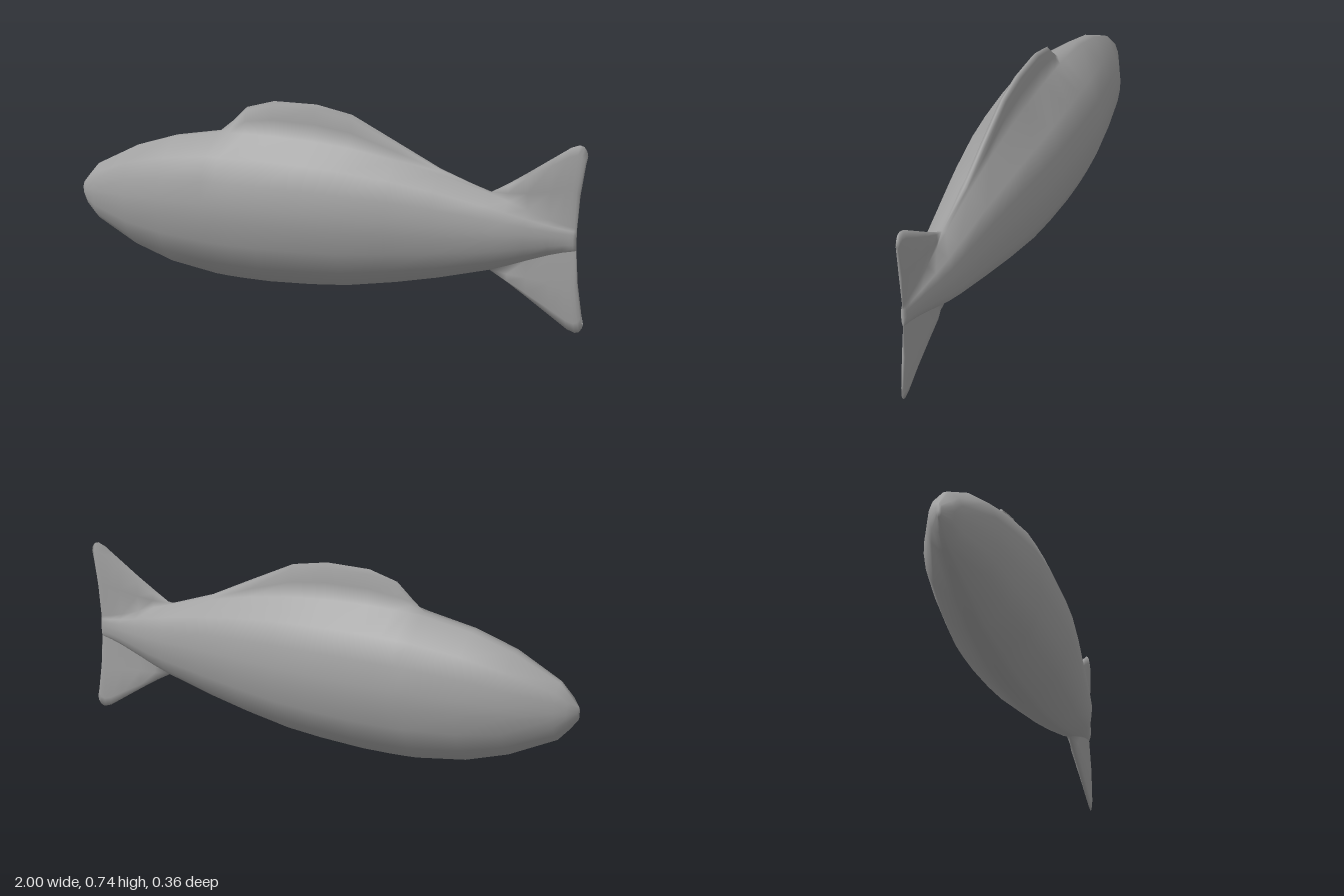
import * as THREE from 'three';
import { mergeVertices } from 'three/addons/utils/BufferGeometryUtils.js';

const material = new THREE.MeshStandardMaterial({ color: 0xa0a0a0 });

// Plain body sections: [x, body top, body bottom, half width, fin top, fin half thickness]
const BODY = [
  [-1, 0.345, 0.345, 0],
  [-1, 0.37, 0.32, 0.01],
  [-0.97, 0.405, 0.28, 0.044],
  [-0.93, 0.45, 0.235, 0.062],
  [-0.76, 0.535, 0.152, 0.131],
  [-0.6, 0.585, 0.1, 0.155],
  [-0.41, 0.618, 0.072, 0.179],
  [-0.36, 0.62, 0.069, 0.181, 0.658, 0.014],
  [-0.3, 0.622, 0.067, 0.183, 0.715, 0.02],
  [-0.19, 0.622, 0.066, 0.183, 0.745, 0.022],
  [-0.02, 0.615, 0.074, 0.177, 0.745, 0.022],
  [0.12, 0.602, 0.086, 0.166, 0.718, 0.021],
  [0.3, 0.572, 0.117, 0.141, 0.63, 0.018],
  [0.46, 0.535, 0.151, 0.115, 0.55, 0.014],
  [0.65, 0.482, 0.2, 0.086],
];

// Tail sections, symmetric about TAIL_Y and swept back toward the tips:
// [x at middle, x at tips, body half height, body half width, fin half height, fin half thickness]
const TAIL_Y = 0.341;
const TAIL = [
  [0.72, 0.72, 0.118, 0.075, 0.181, 0.02],
  [0.79, 0.79, 0.092, 0.055, 0.226, 0.018],
  [0.87, 0.88, 0.064, 0.031, 0.286, 0.015],
  [0.92, 0.94, 0.05, 0.018, 0.326, 0.013],
  [0.945, 0.97, 0.045, 0.013, 0.337, 0.012],
  [0.958, 0.986, 0.042, 0.011, 0.332, 0.011],
  [0.966, 0.997, 0.04, 0.007, 0.316, 0.007],
  [0.968, 1, 0.04, 0, 0.3, 0],
];

const ANGLES = [8, 45, 67, 85, 95, 113, 135, 166, 174];
const FIN_STEPS = [1, 0.88, 0.45]; // heights along a fin, tip first

// One closed section: fin tip, down the +z flank, lower fin tip, back up the -z flank
function section({ xMid, xTip, top, bottom, w, finTop, finBottom, t }) {
  const mid = (top + bottom) / 2;
  const soften = (v) => Math.sign(v) * Math.abs(v) ** 0.92;
  const finPoint = (root, tip) => (f) =>
    [root + (tip - root) * f, f === 1 || root === tip ? 0 : t * (1 - 0.45 * f)];
  const flank = [
    ...FIN_STEPS.map(finPoint(top, finTop)),
    ...ANGLES.map((degrees) => {
      const a = THREE.MathUtils.degToRad(degrees);
      return [mid + soften(Math.cos(a)) * (top - bottom) / 2, soften(Math.sin(a)) * w];
    }),
    ...FIN_STEPS.map(finPoint(bottom, finBottom)).reverse(),
  ];
  const reach = Math.max(finTop - mid, 1e-6);
  const place = (sign) => ([y, z]) =>
    [xMid + (xTip - xMid) * ((y - mid) / reach) ** 2, y, sign * z];
  return [...flank.map(place(1)), ...flank.slice(1, -1).reverse().map(place(-1))];
}

// Skin the sections as one smooth surface
function loft(rings) {
  const n = rings[0].length;
  const index = [];
  for (let i = 0; i < rings.length - 1; i++) {
    for (let j = 0; j < n; j++) {
      const k = (j + 1) % n;
      const a = i * n + j, b = i * n + k, c = a + n, d = b + n;
      index.push(a, b, c, b, d, c);
    }
  }
  const geometry = new THREE.BufferGeometry();
  geometry.setAttribute('position', new THREE.Float32BufferAttribute(rings.flat(2), 3));
  geometry.setIndex(index);
  const welded = mergeVertices(geometry, 1e-5);
  welded.computeVertexNormals();
  return welded;
}

export function createModel() {
  const bodyRings = BODY.map(([x, top, bottom, w, finTop = top, t = 0]) =>
    section({ xMid: x, xTip: x, top, bottom, w, finTop, finBottom: bottom, t }));
  const tailRings = TAIL.map(([xMid, xTip, h, w, finH, t]) => section({
    xMid, xTip, w, t,
    top: TAIL_Y + h, bottom: TAIL_Y - h,
    finTop: TAIL_Y + finH, finBottom: TAIL_Y - finH,
  }));

  // Body, dorsal fin and tail fin flow together as one skin
  const skin = new THREE.Mesh(loft([...bodyRings, ...tailRings]), material);
  skin.name = 'bodyWithFins';
  const fish = new THREE.Group();
  fish.name = 'fish';
  fish.add(skin);
  return fish;
}
